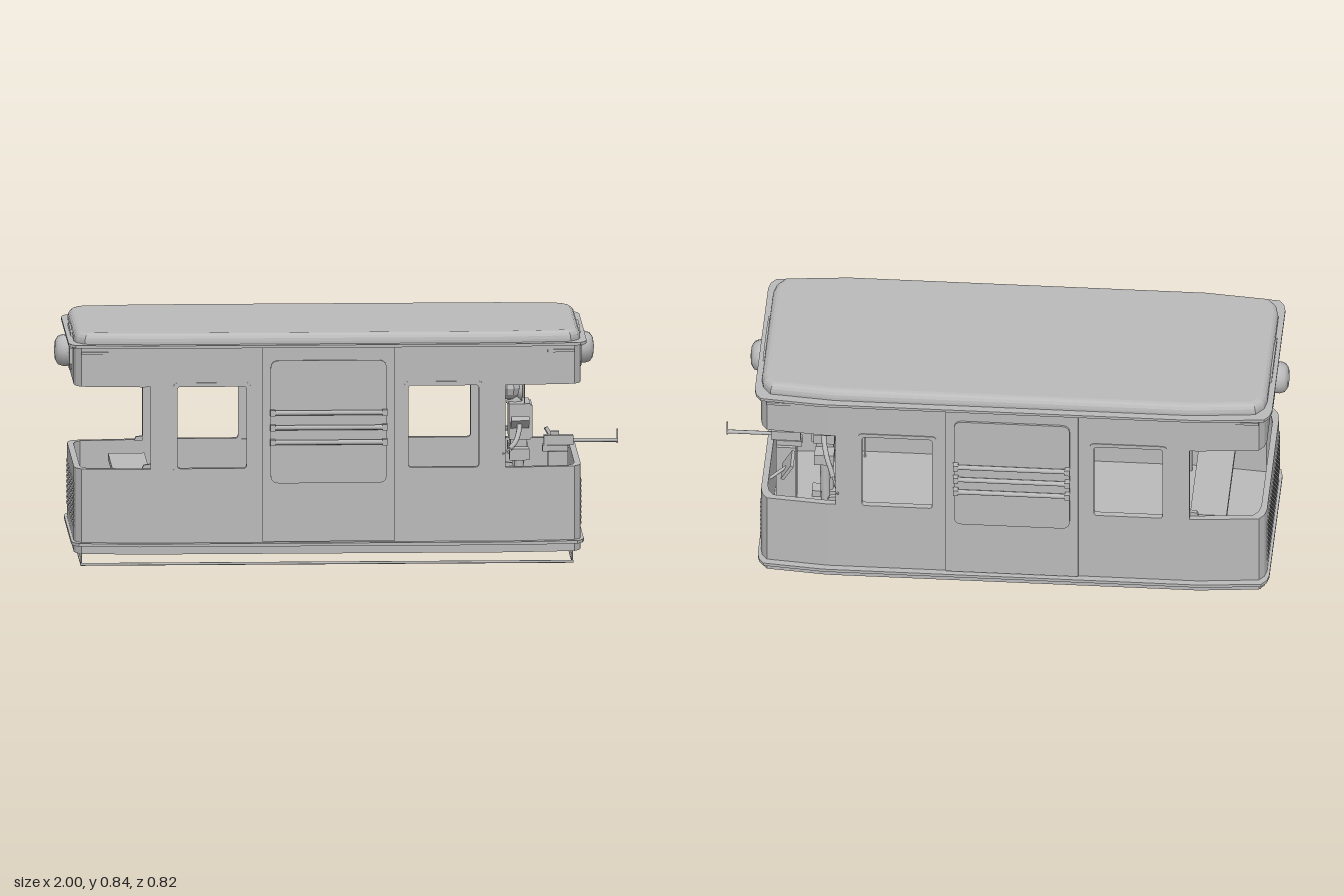
import * as THREE from 'three';

const CX = -0.045; // centre of the car body along x

export function createModel() {
  const model = new THREE.Group();
  const grey = new THREE.MeshStandardMaterial({ color: 0xbababa });

  const add = (name, geo, parent = model) => {
    const m = new THREE.Mesh(geo, grey);
    m.name = name;
    parent.add(m);
    return m;
  };
  const box = (name, x0, x1, y0, y1, z0, z1, parent) => {
    const m = add(name, new THREE.BoxGeometry(x1 - x0, y1 - y0, z1 - z0), parent);
    m.position.set((x0 + x1) / 2, (y0 + y1) / 2, (z0 + z1) / 2);
    return m;
  };
  const tube = (name, pts, r, parent) => add(name, new THREE.TubeGeometry(
    new THREE.CatmullRomCurve3(pts.map(p => new THREE.Vector3(...p))), 16, r, 8), parent);
  const rod = (name, a, b, r, parent) => {
    const A = new THREE.Vector3(...a), B = new THREE.Vector3(...b);
    const m = add(name, new THREE.CylinderGeometry(r, r, A.distanceTo(B), 8), parent);
    m.position.copy(A).lerp(B, 0.5);
    m.quaternion.setFromUnitVectors(new THREE.Vector3(0, 1, 0), B.sub(A).normalize());
    return m;
  };
  const extrude = (shape, depth, extra = {}) =>
    new THREE.ExtrudeGeometry(shape, { depth, bevelEnabled: false, curveSegments: 5, ...extra });

  // Plan outline of the car, grown by ox and oz: tapered sides and slightly rounded ends
  const planPoints = (ox, oz = ox) => {
    const q = [[0.9, 0.285], [0.893, 0.32], [0.875, 0.345], [0.66, 0.367]]
      .map(([x, z]) => [x + ox, z + oz]);
    const r = [...q].reverse();
    return [...q, ...r.map(([x, z]) => [-x, z]), ...q.map(([x, z]) => [-x, -z]), ...r.map(([x, z]) => [x, -z])]
      .map(([x, z]) => new THREE.Vector2(x + CX, z));
  };
  const slab = (name, [ox, oz], y0, y1, inner) => {
    const s = new THREE.Shape(planPoints(ox, oz));
    if (inner !== undefined) s.holes.push(new THREE.Path(planPoints(inner).reverse()));
    const m = add(name, extrude(s, y1 - y0).rotateX(-Math.PI / 2));
    m.position.y = y0;
    return m;
  };

  // Body shell
  slab('floor', [-0.005, -0.005], 0.057, 0.1);
  slab('lowerWall', [0, 0], 0.055, 0.36, -0.022);
  slab('lowerRail', [0.01, 0.026], 0.085, 0.096, -0.01);
  slab('upperBand', [0, 0], 0.655, 0.8, -0.022);
  slab('upperRail', [0.02, 0.028], 0.797, 0.807, -0.01);
  slab('ceiling', [-0.01, -0.01], 0.785, 0.8);
  const roof = add('roof', extrude(new THREE.Shape(planPoints(-0.027)), 0.01,
    { bevelEnabled: true, bevelThickness: 0.028, bevelSize: 0.026, bevelSegments: 4 }).rotateX(-Math.PI / 2));
  roof.position.y = 0.807;

  // Rounded rectangle used for window holes and panels
  const rounded = (C, x0, x1, y0, y1, r) => {
    const p = new C();
    p.moveTo(x0 + r, y0).lineTo(x1 - r, y0).quadraticCurveTo(x1, y0, x1, y0 + r)
      .lineTo(x1, y1 - r).quadraticCurveTo(x1, y1, x1 - r, y1)
      .lineTo(x0 + r, y1).quadraticCurveTo(x0, y1, x0, y1 - r)
      .lineTo(x0, y0 + r).quadraticCurveTo(x0, y0, x0 + r, y0);
    return p;
  };

  // Side walls with windows, frames, doors and guard bars
  for (const s of [1, -1]) {
    const side = new THREE.Group();
    side.name = s > 0 ? 'frontSide' : 'backSide';
    model.add(side);
    const place = (name, geo, z, t) => { add(name, geo, side).position.z = s > 0 ? z : -z - t; };
    const wall = new THREE.Shape([[-0.675, 0.355], [0.585, 0.355], [0.585, 0.66], [-0.675, 0.66]]
      .map(p => new THREE.Vector2(...p)));
    for (const [a, b] of [[-0.58, -0.335], [0.24, 0.49]]) {
      wall.holes.push(rounded(THREE.Path, a, b, 0.362, 0.656, 0.012));
      const frame = rounded(THREE.Shape, a - 0.014, b + 0.014, 0.348, 0.67, 0.016);
      frame.holes.push(rounded(THREE.Path, a, b, 0.362, 0.656, 0.012));
      place('windowFrame', extrude(frame, 0.004), 0.366, 0.004);
    }
    place('windowWall', extrude(wall, 0.021), 0.346, 0.021);
    place('door', extrude(rounded(THREE.Shape, -0.28, 0.192, 0.1, 0.797, 0.004), 0.016), 0.362, 0.016);
    place('doorPanel', extrude(rounded(THREE.Shape, -0.25, 0.162, 0.31, 0.75, 0.03), 0.01), 0.376, 0.01);
    for (const y of [0.458, 0.511, 0.564]) {
      rod('guardBar', [-0.25, y, s * 0.398], [0.162, y, s * 0.398], 0.009, side);
      for (const x of [-0.243, 0.155])
        box('barBracket', x - 0.009, x + 0.009, y - 0.011, y + 0.011,
          Math.min(s * 0.384, s * 0.409), Math.max(s * 0.384, s * 0.409), side);
    }
    for (const x of [0.53, -0.63]) rod('grabPole', [x, 0.1, s * 0.312], [x, 0.79, s * 0.312], 0.004, side);
    // Small gussets where the pillars meet the sill
    for (const [x, d] of [[-0.675, -1], [0.585, 1]]) {
      const g = new THREE.Shape([[0, 0], [0.03, 0], [0.024, 0.013], [0, 0.016]]
        .map(([u, v]) => new THREE.Vector2(x + d * u, 0.359 + v)));
      place('sillGusset', extrude(g, 0.016), 0.327, 0.016);
    }
  }

  // Both ends: louvres, lamp, lamp plate and trim
  for (const d of [1, -1]) {
    const end = new THREE.Group();
    end.name = d > 0 ? 'rightEnd' : 'leftEnd';
    end.position.x = CX;
    end.rotation.y = d > 0 ? 0 : Math.PI;
    model.add(end);
    for (let i = 0; i < 9; i++) {
      const y = 0.148 + i * 0.0187;
      rod('louvre', [0.896, y, -0.288], [0.896, y, 0.288], 0.0075, end);
    }
    const plate = (name, pts, t) => {
      const sh = new THREE.Shape([...pts, ...[...pts].reverse().map(([z, y]) => [-z, y])].map(p => new THREE.Vector2(...p)));
      add(name, extrude(sh, t).rotateY(Math.PI / 2), end).position.x = 0.895;
    };
    plate('lampPlate', [[0.11, 0.682], [0.135, 0.705], [0.135, 0.76], [0.11, 0.782], [0.05, 0.795]], 0.014);
    plate('lampHood', [[0.3, 0.785], [0.3, 0.795], [0.15, 0.799], [0.135, 0.811], [0.06, 0.823]], 0.01);
    const lamp = add('headlamp', new THREE.LatheGeometry(
      [[0.056, 0], [0.057, 0.02], [0.051, 0.038], [0.034, 0.049], [0, 0.053]].map(p => new THREE.Vector2(...p)), 14)
      .rotateZ(-Math.PI / 2), end);
    lamp.position.set(0.906, 0.735, 0);
    for (const s of [1, -1])
      box('cornerTrim', 0.78, 0.875, 0.77, 0.78, s * 0.35 - 0.008, s * 0.35 + 0.008, end);
  }

  // Thin ground frame hanging on posts
  for (const z of [-0.262, 0.262]) rod('groundFrameSide', [-0.92, 0.005, z], [0.83, 0.005, z], 0.005);
  for (const x of [-0.917, 0.827]) {
    rod('groundFrameEnd', [x, 0.005, -0.265], [x, 0.005, 0.265], 0.004);
    for (const z of [-0.246, 0.246]) rod('framePost', [x, 0.004, z], [x, 0.06, z], 0.0025);
  }

  // Low table at the rear
  box('tableTop', -0.8, -0.67, 0.3, 0.322, -0.28, 0.28);
  for (const z of [-0.24, 0.24]) box('tableLeg', -0.75, -0.72, 0.1, 0.3, z - 0.012, z + 0.012);

  // Mechanical driver
  const driver = new THREE.Group();
  driver.name = 'driver';
  model.add(driver);
  box('torso', 0.61, 0.685, 0.415, 0.543, -0.075, 0.075, driver);
  box('chestPlate', 0.685, 0.692, 0.42, 0.537, -0.07, 0.07, driver);
  box('hips', 0.615, 0.675, 0.36, 0.415, -0.05, 0.05, driver);
  const neck = add('neck', new THREE.CylinderGeometry(0.022, 0.03, 0.04, 8), driver);
  neck.position.set(0.632, 0.555, 0);
  const head = add('head', new THREE.SphereGeometry(0.058, 10, 6).toNonIndexed(), driver);
  head.geometry.computeVertexNormals();
  head.scale.set(0.7, 0.82, 1);
  head.position.set(0.615, 0.594, 0);
  const face = add('faceRing', new THREE.CylinderGeometry(0.04, 0.03, 0.02, 10).rotateZ(-Math.PI / 2), driver);
  face.position.set(0.648, 0.582, 0);
  for (const s of [1, -1]) {
    const z = v => s * v;
    rod('antenna', [0.665, 0.53, z(0.064)], [0.665, 0.62, z(0.064)], 0.002, driver);
    const pad = box('shoulderPad', 0.615, 0.68, -0.008, 0.008, -0.034, 0.034, driver);
    pad.position.set(0.6475, 0.48, z(0.1));
    pad.rotation.x = -s * 0.55;
    tube('arm', [[0.645, 0.49, z(0.075)], [0.645, 0.465, z(0.11)], [0.63, 0.425, z(0.17)],
      [0.61, 0.41, z(0.23)], [0.6, 0.409, z(0.28)]], 0.009, driver);
    rod('handle', [0.6, 0.409, z(0.27)], [0.575, 0.41, z(0.375)], 0.004, driver);
    box('thigh', 0.61, 0.68, 0.345, 0.386, s * 0.078 - 0.028, s * 0.078 + 0.028, driver);
    rod('shin', [0.645, 0.35, z(0.075)], [0.64, 0.11, z(0.075)], 0.017, driver);
    box('foot', 0.61, 0.7, 0.1, 0.125, s * 0.075 - 0.025, s * 0.075 + 0.025, driver);
  }

  // Control desk with a long lever and a tilted paddle
  const desk = new THREE.Group();
  desk.name = 'controls';
  model.add(desk);
  box('deskPost', 0.75, 0.82, 0.1, 0.365, -0.035, 0.035, desk);
  box('leverBase', 0.73, 0.82, 0.363, 0.385, -0.022, 0.022, desk);
  box('leverHousing', 0.735, 0.84, 0.385, 0.42, -0.018, 0.018, desk);
  box('leverSight', 0.76, 0.79, 0.42, 0.434, -0.007, 0.007, desk);
  rod('lever', [0.84, 0.4, 0], [0.996, 0.4, 0], 0.007, desk);
  box('leverTip', 0.994, 1, 0.39, 0.44, -0.004, 0.004, desk);
  const paddle = box('paddle', 0.762, 0.774, 0.35, 0.425, -0.217, -0.135, desk);
  paddle.rotation.set(-0.15, 0, 0.5);
  rod('paddleStem', [0.77, 0.385, -0.178], [0.83, 0.345, -0.2], 0.006, desk);

  // Cab ceiling lamp
  rod('cabLampStem', [0.8, 0.66, 0], [0.8, 0.79, 0], 0.008);
  const dome = add('cabLamp', new THREE.CylinderGeometry(0.034, 0.022, 0.014, 12));
  dome.position.set(0.8, 0.653, 0);

  return model;
}
